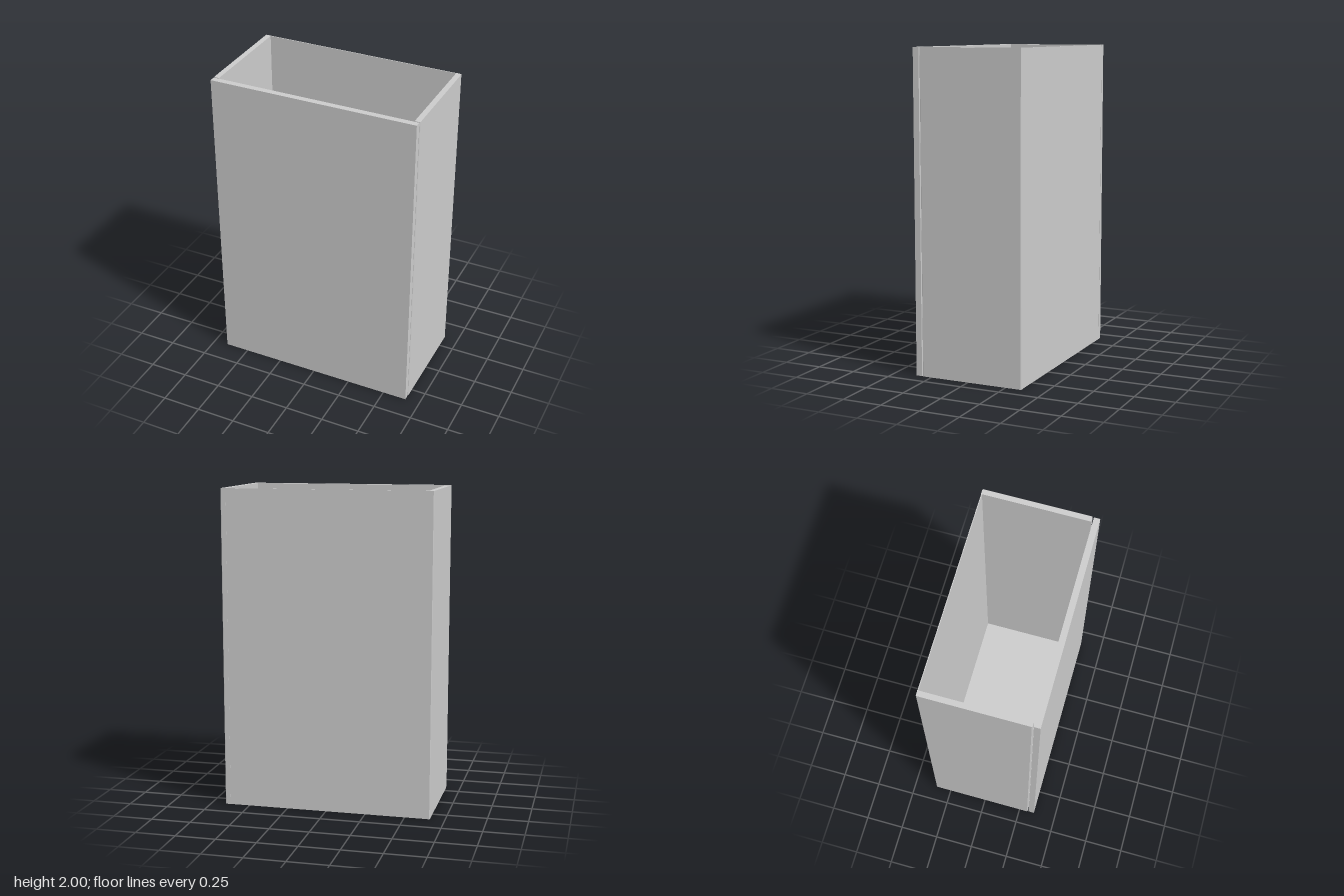
import * as THREE from 'three';

// Open-topped drawer box standing upright
export function createModel() {
  const group = new THREE.Group();
  const material = new THREE.MeshStandardMaterial({ color: 0xcccccc });

  // Box given by its min and max corners
  const slab = (name, [x0, y0, z0], [x1, y1, z1]) => {
    const mesh = new THREE.Mesh(new THREE.BoxGeometry(x1 - x0, y1 - y0, z1 - z0), material);
    mesh.position.set((x0 + x1) / 2, (y0 + y1) / 2, (z0 + z1) / 2);
    mesh.name = name;
    group.add(mesh);
  };

  // Thick front, set off from the sides by a narrow gap
  slab('frontPanel', [-0.655, 0, 0.315], [0.655, 2, 0.353]);

  // Side walls, slightly wider than the front, with small chamfered outer corners
  const c = 0.004;
  for (const s of [1, -1]) {
    const outline = [
      [0.624, -0.353], [0.658 - c, -0.353], [0.658, -0.353 + c],
      [0.658, 0.308 - c], [0.658 - c, 0.308], [0.624, 0.308],
    ].map(([x, z]) => new THREE.Vector2(s * x, -z));
    const geometry = new THREE.ExtrudeGeometry(new THREE.Shape(outline), { depth: 2, bevelEnabled: false });
    geometry.rotateX(-Math.PI / 2);
    const side = new THREE.Mesh(geometry, material);
    side.name = s > 0 ? 'leftSide' : 'rightSide';
    group.add(side);
  }

  // Thin back and bottom sheets
  slab('backPanel', [-0.624, 0, -0.352], [0.624, 2, -0.347]);
  slab('bottomPanel', [-0.624, 0.001, -0.347], [0.624, 0.006, 0.315]);

  return group;
}
